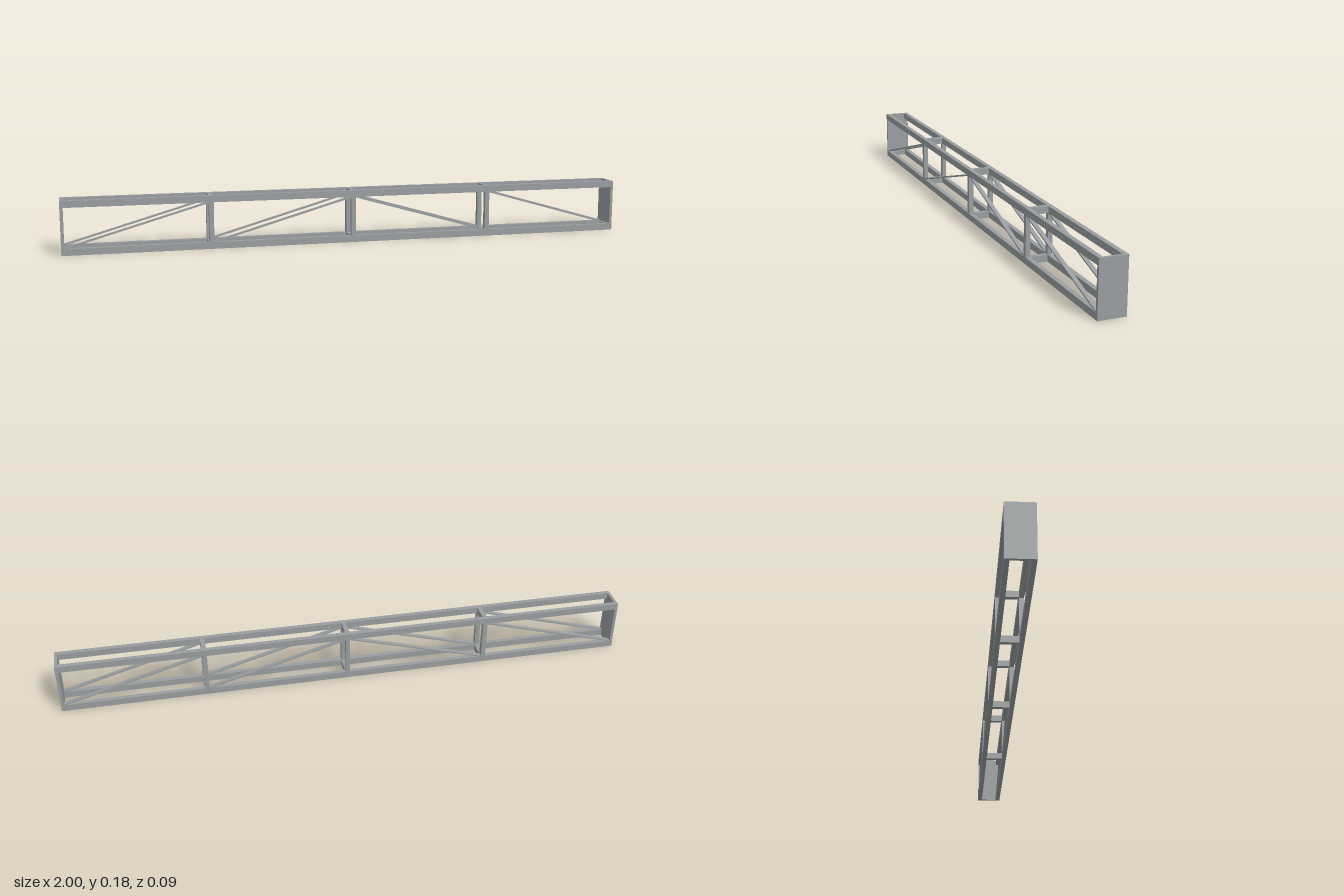
import * as THREE from 'three';

export function createModel() {
  const model = new THREE.Group();
  const steel = new THREE.MeshStandardMaterial({ color: 0x9a9ea0 });
  steel.name = 'grey steel';

  const height = 0.184, depth = 0.092;
  const chordH = 0.023, barW = 0.016, endT = 0.01;
  const sideZ = (depth - barW) / 2;
  const innerH = height - 2 * chordH;

  function bar(name, w, h, d, x, y, z) {
    const mesh = new THREE.Mesh(new THREE.BoxGeometry(w, h, d), steel);
    mesh.name = name;
    mesh.position.set(x, y, z);
    model.add(mesh);
    return mesh;
  }

  // Solid plates closing both ends
  for (const s of [-1, 1]) bar('endPlate', endT, height, depth, s * (1 - endT / 2), height / 2, 0);

  for (const z of [-sideZ, sideZ]) {
    // Long chords along top and bottom
    for (const y of [chordH / 2, height - chordH / 2])
      bar('chord', 2 - 2 * endT, chordH, barW, 0, y, z);

    // Uprights between the bays
    for (const x of [-0.5, 0, 0.5]) bar('upright', barW, innerH, barW, x, height / 2, z);

    // Thin flat diagonals rising towards the middle, mirrored left and right
    for (const s of [-1, 1]) {
      for (const [outer, inner] of [[1 - endT, 0.5 + barW / 2], [0.5 - barW / 2, barW / 2]]) {
        const run = outer - inner;
        const diagonal = bar('diagonal', Math.hypot(run, innerH), 0.005, barW * 0.9,
          s * (outer + inner) / 2, height / 2, z);
        diagonal.rotation.z = -s * Math.atan2(innerH, run);
      }
    }
  }

  // Short struts joining the two sides at each upright
  for (const x of [-0.5, 0, 0.5])
    for (const y of [chordH / 2, height - chordH / 2])
      bar('crossStrut', barW, chordH, depth - 2 * barW, x, y, 0);

  return model;
}
